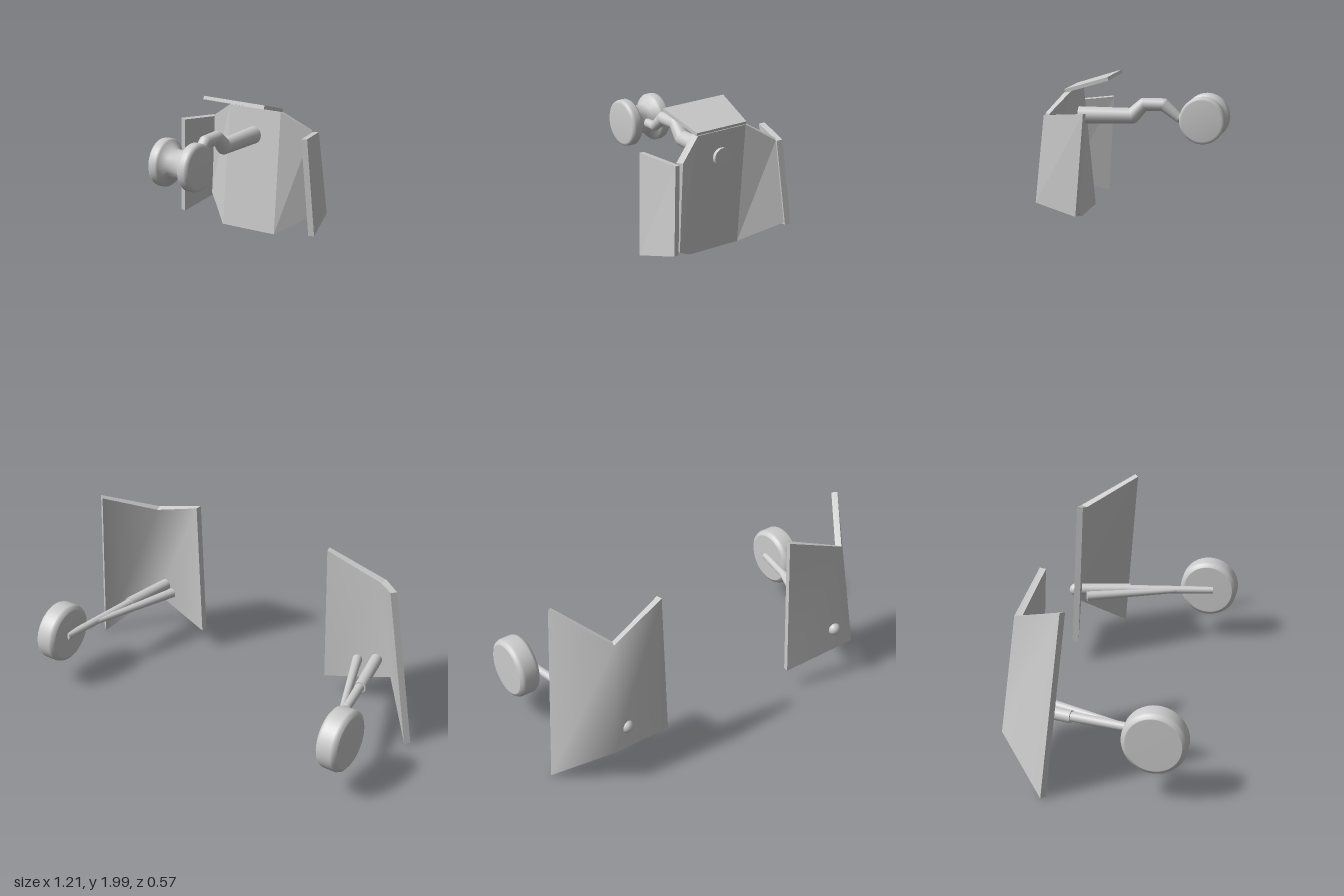
import * as THREE from 'three';

const V = (x, y, z) => new THREE.Vector3(x, y, z);
const grey = new THREE.MeshStandardMaterial({ color: 0xcccccc });

function add(parent, name, geometry) {
  const mesh = new THREE.Mesh(geometry, grey);
  mesh.name = name;
  parent.add(mesh);
  return mesh;
}

// Folded plate: two rows of points (upper, lower) give the inner face, thickened away from it.
// side = -1 mirrors it across x = 0.
function plate(rows, thickness, smooth, side = 1) {
  const pts = rows.map(row => {
    const r = row.map(([x, y, z]) => V(x * side, y, z));
    return side < 0 ? r.reverse() : r;
  });
  const n = pts[0].length;
  const cellNormals = [];
  for (let i = 0; i < n - 1; i++) {
    const across = pts[0][i + 1].clone().add(pts[1][i + 1]).sub(pts[0][i]).sub(pts[1][i]);
    const up = pts[0][i].clone().add(pts[0][i + 1]).sub(pts[1][i]).sub(pts[1][i + 1]);
    cellNormals.push(across.cross(up).normalize());
  }
  const back = pts.map(row => row.map((p, i) => {
    const a = cellNormals[Math.max(i - 1, 0)], b = cellNormals[Math.min(i, n - 2)];
    const m = a.clone().add(b).normalize();
    return p.clone().addScaledVector(m, -thickness / m.dot(a));
  }));

  const pos = [], idx = [];
  const strip = (upper, lower) => {
    const base = pos.length / 3, k = upper.length;
    [...upper, ...lower].forEach(p => pos.push(p.x, p.y, p.z));
    for (let i = 0; i < k - 1; i++) {
      const a = base + i, c = a + k;
      idx.push(a, c, a + 1, a + 1, c, c + 1);
    }
  };
  strip(pts[0], pts[1]);
  strip([...back[0]].reverse(), [...back[1]].reverse());
  for (let i = 0; i < n - 1; i++) {
    strip([back[0][i], back[0][i + 1]], [pts[0][i], pts[0][i + 1]]);
    strip([pts[1][i], pts[1][i + 1]], [back[1][i], back[1][i + 1]]);
  }
  const e = n - 1;
  strip([back[0][0], pts[0][0]], [back[1][0], pts[1][0]]);
  strip([pts[0][e], back[0][e]], [pts[1][e], back[1][e]]);

  let g = new THREE.BufferGeometry();
  g.setAttribute('position', new THREE.Float32BufferAttribute(pos, 3));
  g.setIndex(idx);
  if (!smooth) g = g.toNonIndexed();
  g.computeVertexNormals();
  return g;
}

// Tapered rod between two points
function rod(a, b, ra, rb) {
  const d = b.clone().sub(a);
  const g = new THREE.CylinderGeometry(rb, ra, d.length(), 20);
  g.applyQuaternion(new THREE.Quaternion().setFromUnitVectors(V(0, 1, 0), d.normalize()));
  const mid = a.clone().add(b).multiplyScalar(0.5);
  return g.translate(mid.x, mid.y, mid.z);
}

// Solid of revolution around the x axis; profile is [radius, x]
function wheel(profile, centre) {
  const g = new THREE.LatheGeometry(profile.map(([r, x]) => new THREE.Vector2(r, x)), 40);
  return g.rotateZ(-Math.PI / 2).translate(centre.x, centre.y, centre.z);
}

function mainGear(side) {
  const gear = new THREE.Group();
  gear.name = side > 0 ? 'leftMainGear' : 'rightMainGear';
  const P = (x, y, z) => V(x * side, y, z);

  add(gear, 'mainWheel', wheel([
    [0, -0.036], [0.082, -0.036], [0.084, -0.035], [0.093, -0.029], [0.097, -0.02],
    [0.097, 0.02], [0.093, 0.029], [0.084, 0.035], [0.082, 0.036], [0, 0.036],
  ], P(0.53, 0.2, 0.183)));

  // Leg, its thicker sleeve and the rounded pin showing behind the door
  add(gear, 'leg', rod(P(0.445, 0.2, -0.1), P(0.496, 0.2, 0.2), 0.015, 0.012));
  add(gear, 'legSleeve', rod(P(0.413, 0.2, -0.268), P(0.45, 0.2, -0.08), 0.019, 0.019));
  add(gear, 'pivotPin', new THREE.SphereGeometry(0.021, 20, 12).translate(0.411 * side, 0.2, -0.265));
  add(gear, 'sideBrace', rod(P(0.365, 0.2, -0.215), P(0.472, 0.2, 0.08), 0.016, 0.009));

  add(gear, 'mainDoor', plate([
    [[0.25, 0.572, -0.2], [0.43, 0.5, -0.227], [0.543, 0.58, -0.072]],
    [[0.243, 0.087, -0.218], [0.462, 0.137, -0.264], [0.592, 0.014, -0.125]],
  ], 0.02, true, side));
  return gear;
}

function noseGear() {
  const gear = new THREE.Group();
  gear.name = 'noseGear';

  // Twin wheels with a narrow hub between them
  add(gear, 'twinWheel', wheel([
    [0, -0.065], [0.056, -0.065], [0.063, -0.06], [0.065, -0.054], [0.065, -0.038],
    [0.061, -0.032], [0.04, -0.018], [0.04, 0.018], [0.061, 0.032], [0.065, 0.038],
    [0.065, 0.054], [0.063, 0.06], [0.056, 0.065], [0, 0.065],
  ], V(0, 1.88, 0.22)));

  // Cranked leg: [y, z, radius]
  const path = [
    [1.88, 0.2, 0.012], [1.88, 0.145, 0.013], [1.915, 0.102, 0.018], [1.915, 0.045, 0.018],
    [1.882, 0.012, 0.022], [1.88, -0.17, 0.025],
  ];
  path.forEach(([y, z, r], i) => {
    if (i === 0) return;
    const [py, pz, pr] = path[i - 1];
    add(gear, 'noseLeg', rod(V(0, py, pz), V(0, y, z), pr, r));
    if (i < path.length - 1) add(gear, 'noseLegJoint', new THREE.SphereGeometry(r, 20, 12).translate(0, y, z));
  });

  // Doors around the nose leg
  add(gear, 'noseDoor', plate([
    [[-0.165, 1.905, -0.188], [-0.085, 1.955, -0.148], [0.085, 1.955, -0.148], [0.165, 1.905, -0.188]],
    [[-0.188, 1.668, -0.205], [-0.088, 1.608, -0.115], [0.088, 1.608, -0.115], [0.188, 1.668, -0.205]],
  ], 0.018, false));
  add(gear, 'upperFlap', plate([
    [[-0.1, 1.99, -0.036], [0.1, 1.99, -0.036]],
    [[-0.082, 1.952, -0.163], [0.082, 1.952, -0.163]],
  ], 0.01, false));
  for (const side of [1, -1]) {
    add(gear, 'sideFlap', plate([
      [[0.162, 1.9, -0.198], [0.194, 1.91, -0.08]],
      [[0.182, 1.66, -0.22], [0.212, 1.63, -0.1]],
    ], 0.017, false, side));
  }
  return gear;
}

export function createModel() {
  const model = new THREE.Group();
  model.name = 'landingGear';
  model.add(noseGear(), mainGear(1), mainGear(-1));
  return model;
}
